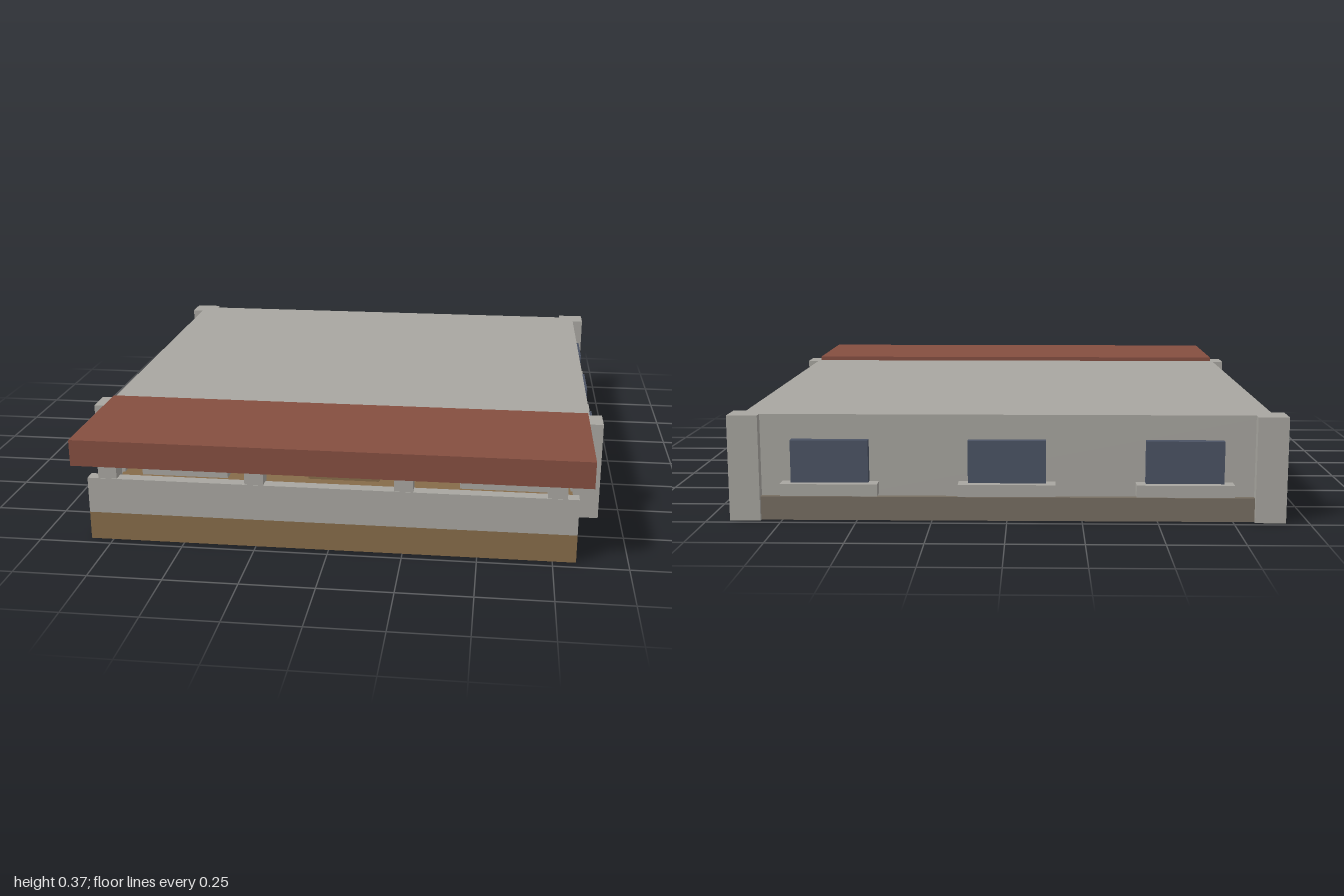
import * as THREE from 'three';

const mat = (name, color) => {
  const m = new THREE.MeshStandardMaterial({ color });
  m.name = name;
  return m;
};

export function createModel() {
  const stone = mat('stone grey', 0xa8a6a0);
  const glass = mat('window blue', 0x4b5364);
  const base = mat('plinth brown', 0x776e62);
  const wood = mat('wood brown', 0x866b49);
  const tile = mat('roof red', 0x854e40);

  const model = new THREE.Group();
  model.name = 'house';

  // Box given by its low and high limits on each axis
  const box = (parent, name, m, [x0, x1], [y0, y1], [z0, z1]) => {
    const mesh = new THREE.Mesh(new THREE.BoxGeometry(x1 - x0, y1 - y0, z1 - z0), m);
    mesh.position.set((x0 + x1) / 2, (y0 + y1) / 2, (z0 + z1) / 2);
    mesh.name = name;
    parent.add(mesh);
  };

  // House body
  const back = -0.945, front = 0.55, side = 0.88, top = 0.355;
  box(model, 'walls', stone, [-side, side], [0.01, top], [back, front]);
  box(model, 'plinth', base, [-0.903, 0.903], [0, 0.08], [back - 0.02, front + 0.02]);

  // Corner posts
  for (const s of [-1, 1]) {
    for (const z of [-0.928, 0.535]) {
      const x = s * 0.872;
      box(model, 'cornerPost', stone, [x - 0.051, x + 0.051], [0, top], [z - 0.051, z + 0.051]);
    }
  }

  // Window with its sill, facing +z from the wall plane
  const addWindow = (x, z, turn, paneWidth, sillWidth) => {
    const g = new THREE.Group();
    g.name = 'window';
    const p = paneWidth / 2, w = sillWidth / 2;
    box(g, 'pane', glass, [-p, p], [0.125, 0.272], [-0.01, 0.028]);
    box(g, 'sill', stone, [-w, w], [0.09, 0.13], [-0.01, 0.055]);
    g.position.set(x, 0, z);
    g.rotation.y = turn;
    model.add(g);
  };
  for (const z of [0.297, -0.197, -0.692]) {
    addWindow(side, z, Math.PI / 2, 0.218, 0.272);
    addWindow(-side, z, -Math.PI / 2, 0.218, 0.272);
  }
  for (const x of [-0.588, 0, 0.588]) {
    addWindow(x, back, Math.PI, 0.258, 0.322);
    if (x !== 0) addWindow(x, front, 0, 0.258, 0.322);
  }

  // Front door
  box(model, 'door', wood, [-0.13, 0.13], [0.09, 0.256], [front - 0.01, front + 0.025]);

  // Porch
  box(model, 'porchDeck', wood, [-0.828, 0.828], [0, 0.098], [front, 0.965]);
  box(model, 'porchRail', stone, [-0.828, 0.828], [0.098, 0.224], [0.922, 0.965]);
  for (const x of [-0.758, -0.252, 0.252, 0.758]) {
    box(model, 'porchPost', stone, [x - 0.032, x + 0.032], [0.098, 0.285], [0.902, 0.963]);
  }
  box(model, 'porchRoof', tile, [-0.872, 0.872], [0.279, 0.371], [0.51, 1]);

  return model;
}
